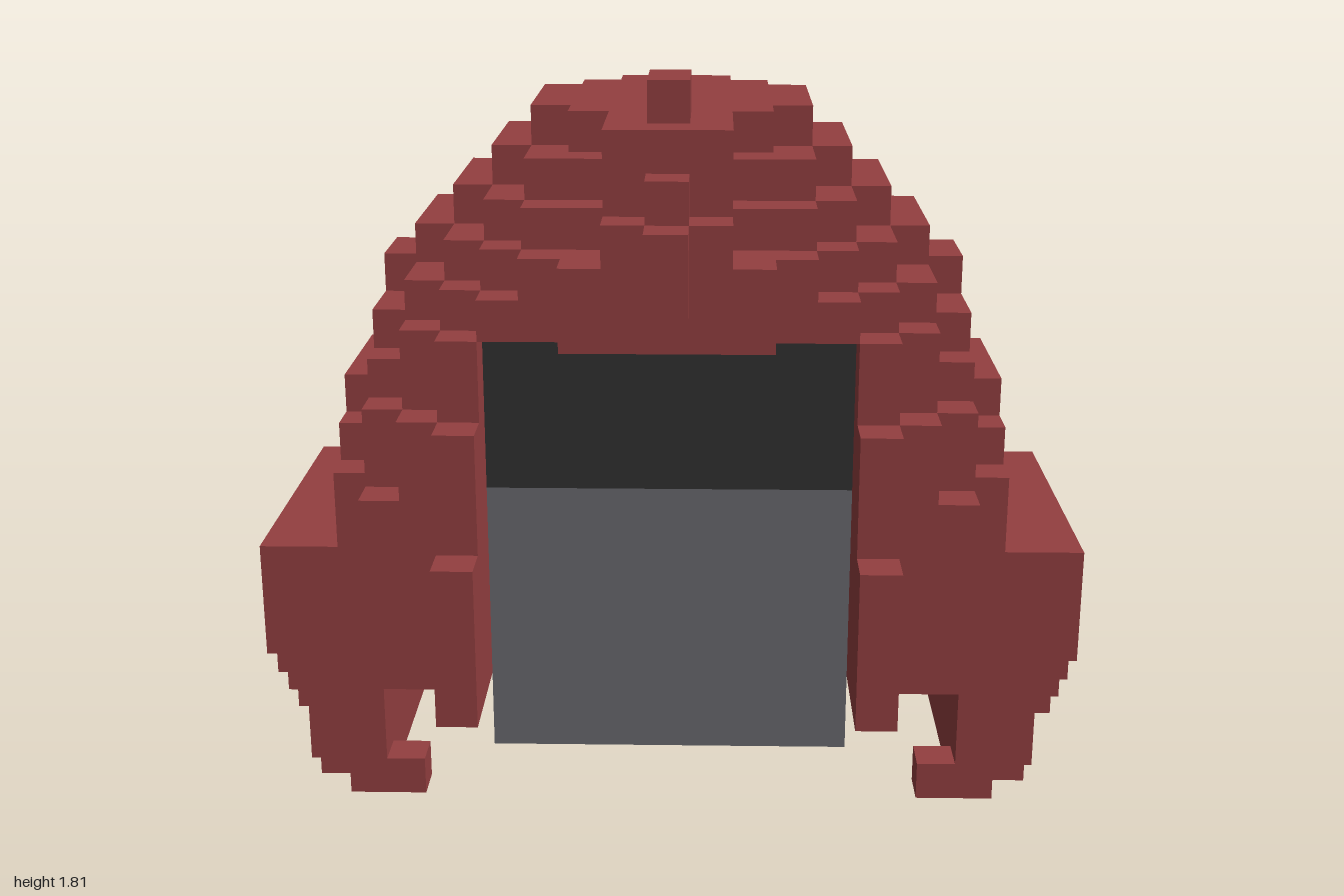
import * as THREE from 'three';

const S = 2 / 21; // edge of one block

// squared plan radius of each layer, from the ground up
const SKIRT = [90, 101.5, 104, 108, 113, 117, 117];
const DOME = { 4: 78, 5: 78, 6: 78, 7: 78, 8: 78, 9: 72, 10: 68, 11: 62, 12: 57, 13: 50, 14: 40, 15: 30, 16: 21, 17: 12.5 };

const key = (x, y, z) => `${x},${y},${z}`;
const hollow = (r2) => (Math.sqrt(r2) - 2) ** 2; // shell two blocks thick

function fillBlocks() {
  const cells = new Map();
  const box = (part, x0, x1, y0, y1, z0, z1) => {
    for (let x = x0; x <= x1; x++)
      for (let y = y0; y <= y1; y++)
        for (let z = z0; z <= z1; z++) cells.set(key(x, y, z), { part, x, y, z });
  };
  const put = (part, x, y, z) => box(part, x, x, y, y, z, z);

  for (let y = 0; y <= 17; y++)
    for (let x = -10; x <= 10; x++)
      for (let z = -9; z <= 9; z++) {
        const ax = Math.abs(x);
        const dz2 = (z - 1.5) ** 2;
        if (ax <= 4 && y <= 12 && z >= 3) continue; // face opening

        // flared neck guard, open at the front
        if (y <= 6 && z <= 5) {
          const d = x * x + 0.92 * dz2;
          if (d <= SKIRT[y] && d > (y < 4 ? Math.min(62, hollow(SKIRT[y])) : 49)) put('neckGuard', x, y, z);
        }
        // stepped hollow dome and cheeks
        if (y >= 4) {
          const d = x * x + 0.88 * dz2;
          const inner = y >= 17 ? -1 : hollow(DOME[y]);
          const roof = y === 13 && z >= 5;
          const front = ax === 5 && y <= 10 ? (y <= 7 ? 9 : 8) : 7;
          if (d <= DOME[y] && (d > inner || roof) && z <= front) {
            put(y <= 12 && ax >= 5 && z >= 6 ? 'cheekGuards' : 'dome', x, y, z);
          }
        }
      }

  // brow ridge and crest
  box('browRidge', -2, 2, 13, 14, 7, 8);
  box('browRidge', -1, 1, 15, 15, 7, 8);
  box('browRidge', 0, 0, 14, 15, 9, 9);
  box('browRidge', -1, 1, 16, 16, 6, 7);
  box('browRidge', 0, 0, 16, 16, 8, 8);
  box('browRidge', -1, 1, 17, 17, 5, 7);
  box('crestKnob', 0, 0, 18, 18, 5, 6);

  // face plate with its dark upper band and backing
  box('eyeBand', -4, 4, 3, 12, 5, 5);
  box('eyeBand', -4, 4, 9, 12, 6, 6);
  box('facePlate', -4, 4, 2, 8, 6, 6);
  return cells;
}

// outer faces of every block belonging to one part
function blockGeometry(cells, part) {
  const pos = [], nor = [], idx = [];
  for (const c of cells.values()) {
    if (c.part !== part) continue;
    const p = [c.x, c.y + 0.5, c.z];
    for (let a = 0; a < 3; a++)
      for (const s of [-1, 1]) {
        const n = [0, 0, 0];
        n[a] = s;
        if (cells.has(key(c.x + n[0], c.y + n[1], c.z + n[2]))) continue;
        const u = (a + 1) % 3, v = (a + 2) % 3, base = pos.length / 3;
        for (const [i, j] of [[-1, -1], [1, -1], [1, 1], [-1, 1]]) {
          const q = [...p];
          q[a] += s / 2;
          q[u] += (i * s) / 2;
          q[v] += j / 2;
          pos.push(q[0] * S, q[1] * S, q[2] * S);
          nor.push(...n);
        }
        idx.push(base, base + 1, base + 2, base, base + 2, base + 3);
      }
  }
  const g = new THREE.BufferGeometry();
  g.setAttribute('position', new THREE.Float32BufferAttribute(pos, 3));
  g.setAttribute('normal', new THREE.Float32BufferAttribute(nor, 3));
  g.setIndex(idx);
  return g;
}

export function createModel() {
  const material = (name, color) => {
    const m = new THREE.MeshStandardMaterial({ color });
    m.name = name;
    return m;
  };
  const red = material('dull red', 0x933f40);
  const grey = material('steel grey', 0x69696f);
  const dark = material('charcoal', 0x313131);

  const group = new THREE.Group();
  group.name = 'helmet';
  const cells = fillBlocks();
  const parts = { neckGuard: red, dome: red, cheekGuards: red, browRidge: red, crestKnob: red, facePlate: grey, eyeBand: dark };
  for (const [name, mat] of Object.entries(parts)) {
    const mesh = new THREE.Mesh(blockGeometry(cells, name), mat);
    mesh.name = name;
    group.add(mesh);
  }
  return group;
}
